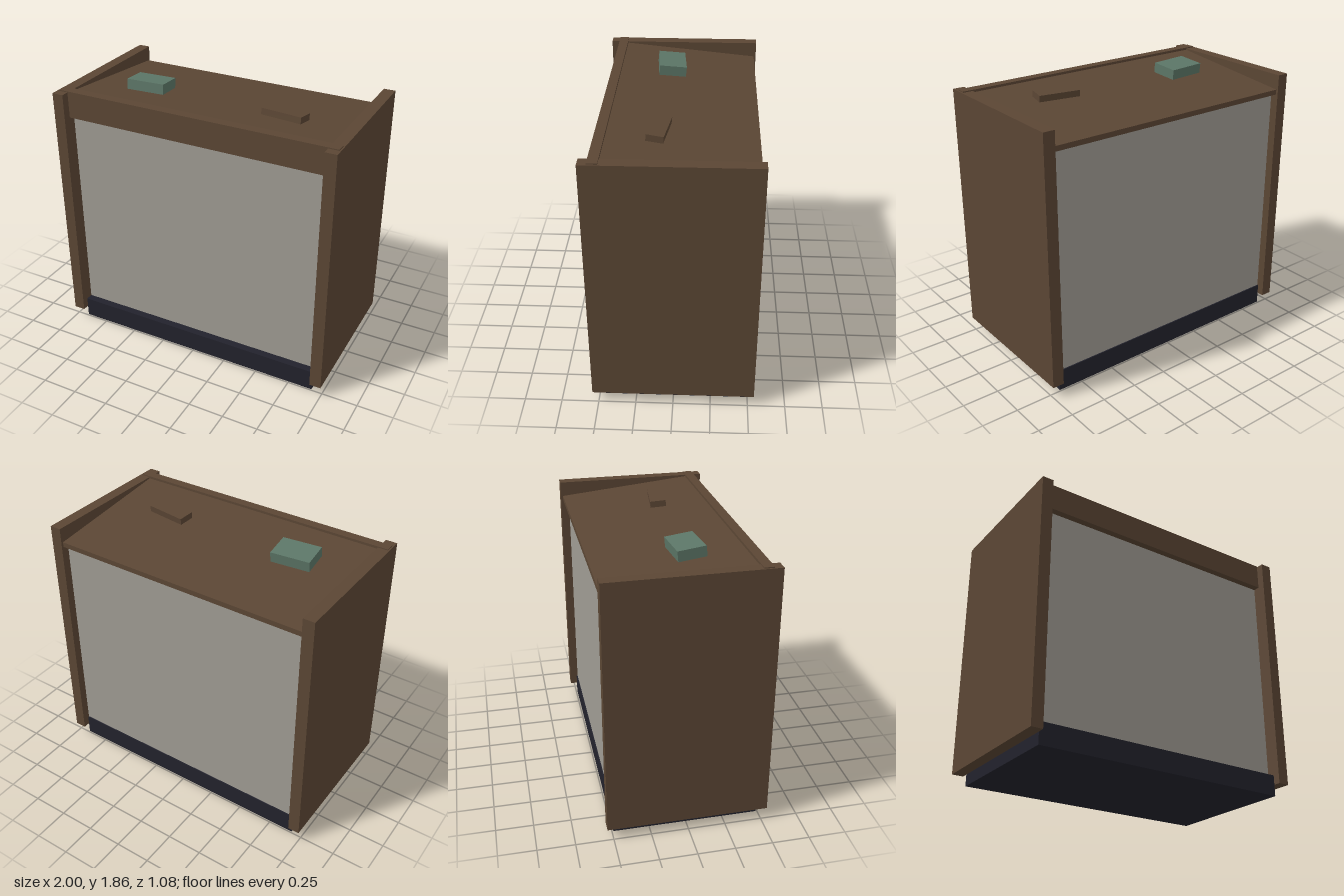
import * as THREE from 'three';

const material = (name, color) => {
  const m = new THREE.MeshStandardMaterial({ color });
  m.name = name;
  return m;
};

export function createModel() {
  const wood = material('brown wood', 0x5b4634);
  const panel = material('warm grey panel', 0x9f9b93);
  const base = material('dark plinth', 0x22222c);
  const green = material('muted green', 0x5c7667);

  const model = new THREE.Group();
  model.name = 'cabinet';

  const add = (name, geometry, mat) => {
    const mesh = new THREE.Mesh(geometry, mat);
    mesh.name = name;
    model.add(mesh);
    return mesh;
  };

  // Box given by its lower and upper corners
  const box = (name, mat, [x0, y0, z0], [x1, y1, z1]) => {
    const mesh = add(name, new THREE.BoxGeometry(x1 - x0, y1 - y0, z1 - z0), mat);
    mesh.position.set((x0 + x1) / 2, (y0 + y1) / 2, (z0 + z1) / 2);
    return mesh;
  };

  // Side profile of [z, y] points, stretched across the width
  const across = (name, mat, points, width) => {
    const shape = new THREE.Shape(points.map(([z, y]) => new THREE.Vector2(z, y)));
    const geometry = new THREE.ExtrudeGeometry(shape, { depth: width, bevelEnabled: false });
    geometry.translate(0, 0, -width / 2).rotateY(-Math.PI / 2);
    return add(name, geometry, mat);
  };

  // The top falls gently toward the back
  const slope = 0.1;
  const topAt = (z) => 1.768 + slope * z;

  // Plinth and side panels
  box('plinth', base, [-0.92, 0, -0.49], [0.92, 0.147, 0.49]);
  box('rightSidePanel', wood, [-1, 0.08, -0.54], [-0.92, 1.82, 0.54]);
  box('leftSidePanel', wood, [0.92, 0.08, -0.54], [1, 1.82, 0.54]);

  // Grey body with a slanted upper edge
  across('body', panel, [
    [-0.482, 0.147], [0.438, 0.147], [0.438, topAt(0.438) - 0.03], [-0.482, topAt(-0.482) - 0.03],
  ], 1.84);

  // Sloping top board
  across('topBoard', wood, [
    [-0.525, topAt(-0.525) - 0.035], [0.45, topAt(0.45) - 0.035], [0.45, topAt(0.45)], [-0.525, topAt(-0.525)],
  ], 1.84);

  // Front fascia and the thin cap over it
  box('fascia', wood, [-0.92, 1.64, 0.42], [0.92, 1.815, 0.485]);
  box('fasciaCap', wood, [-0.99, 1.812, 0.42], [0.99, 1.827, 0.485]);

  // Small blocks lying on the sloping top
  const block = (name, mat, [w, h, d], x, z, turn) => {
    const geometry = new THREE.BoxGeometry(w, h, d).translate(0, h / 2, 0).rotateY(turn);
    const mesh = add(name, geometry, mat);
    mesh.rotation.x = -Math.atan(slope);
    mesh.position.set(x, topAt(z), z);
  };
  block('greenBlock', green, [0.27, 0.07, 0.187], -0.525, 0.072, 0.08);
  block('brownBlock', wood, [0.29, 0.044, 0.11], 0.485, 0.105, -0.13);

  return model;
}
